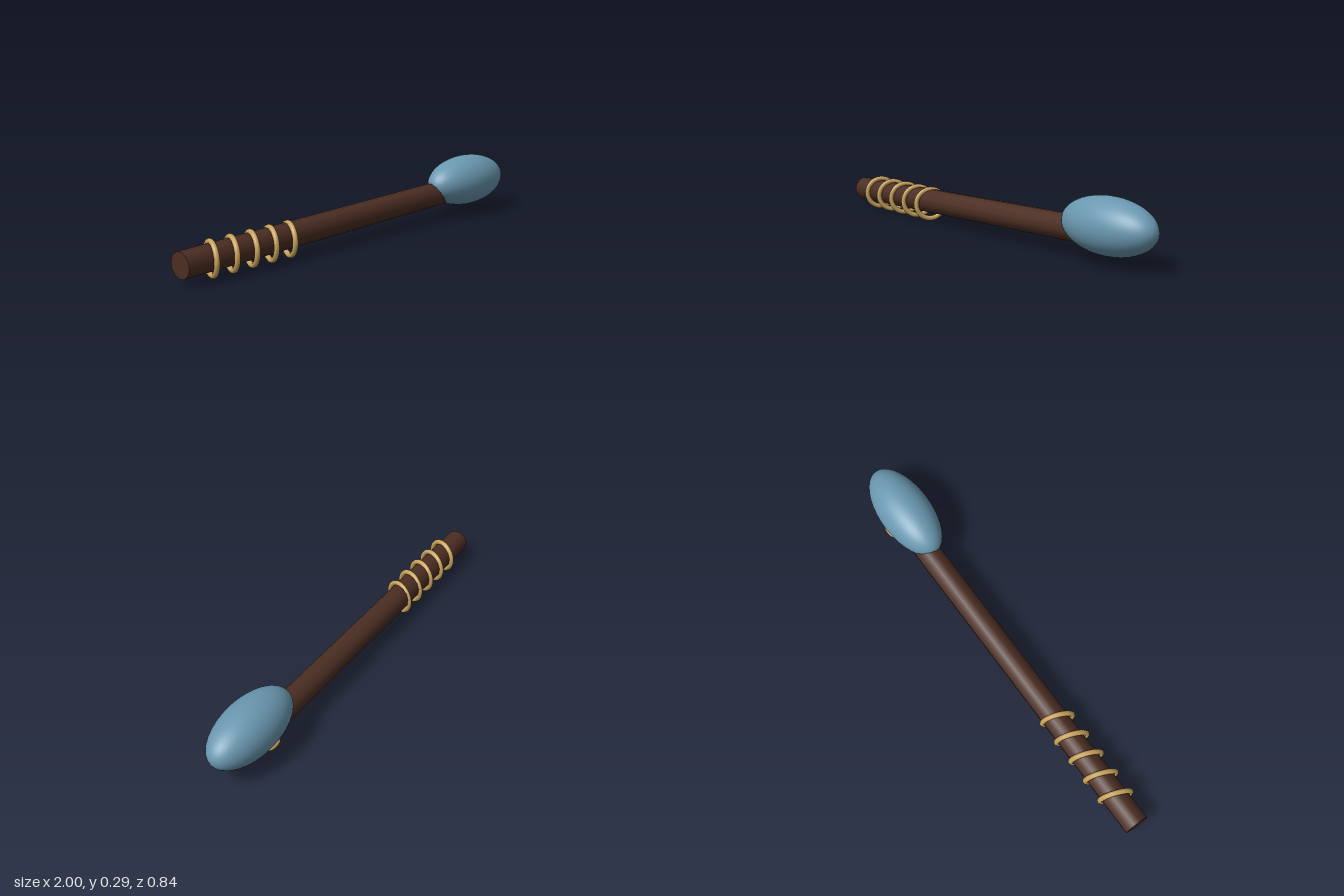
import * as THREE from 'three';

export function createModel() {
  const model = new THREE.Group();
  const mat = (name, color) => {
    const m = new THREE.MeshStandardMaterial({ color });
    m.name = name;
    return m;
  };
  const wood = mat('dark wood', 0x4c2e23);
  const gold = mat('gold', 0xc8a25c);
  const blue = mat('dusty blue', 0x6a98b0);

  const add = (name, geometry, material, x, y, z, parent = model) => {
    const mesh = new THREE.Mesh(geometry, material);
    mesh.name = name;
    mesh.position.set(x, y, z);
    parent.add(mesh);
    return mesh;
  };

  // Handle, slightly rising towards the head
  const start = new THREE.Vector3(-0.98, 0.088, 0.36);
  const end = new THREE.Vector3(0.6, 0.122, -0.244);
  const dir = end.clone().sub(start);
  const mid = start.clone().add(end).multiplyScalar(0.5);
  const handle = add('handle', new THREE.CylinderGeometry(0.059, 0.059, dir.length(), 12),
    wood, mid.x, mid.y, mid.z);
  handle.quaternion.setFromUnitVectors(new THREE.Vector3(0, 1, 0), dir.normalize());

  // Five upright grip rings
  const ringGeometry = new THREE.TorusGeometry(0.0725, 0.0125, 10, 32);
  ringGeometry.rotateY(Math.PI / 2);
  for (let i = 0; i < 5; i++) {
    add('gripRing', ringGeometry, gold, -0.83 + i * 0.103, 0.086, 0.307 - i * 0.038);
  }

  // Long egg-shaped head, level and turned with the handle
  const head = new THREE.Group();
  head.name = 'head';
  head.position.set(0.75, 0.167, -0.278);
  head.rotation.y = THREE.MathUtils.degToRad(20);
  model.add(head);
  const ball = new THREE.SphereGeometry(1, 40, 28);
  add('headBody', ball, blue, 0, 0, 0, head).scale.set(0.259, 0.125, 0.125);

  // Gold binding showing at the back of the head and beside the handle
  add('headBinding', ball, gold, -0.016, -0.06, -0.107, head).scale.set(0.04, 0.013, 0.015);
  add('neckBinding', ball, gold, -0.203, -0.075, -0.055, head).scale.set(0.02, 0.012, 0.014);

  return model;
}
